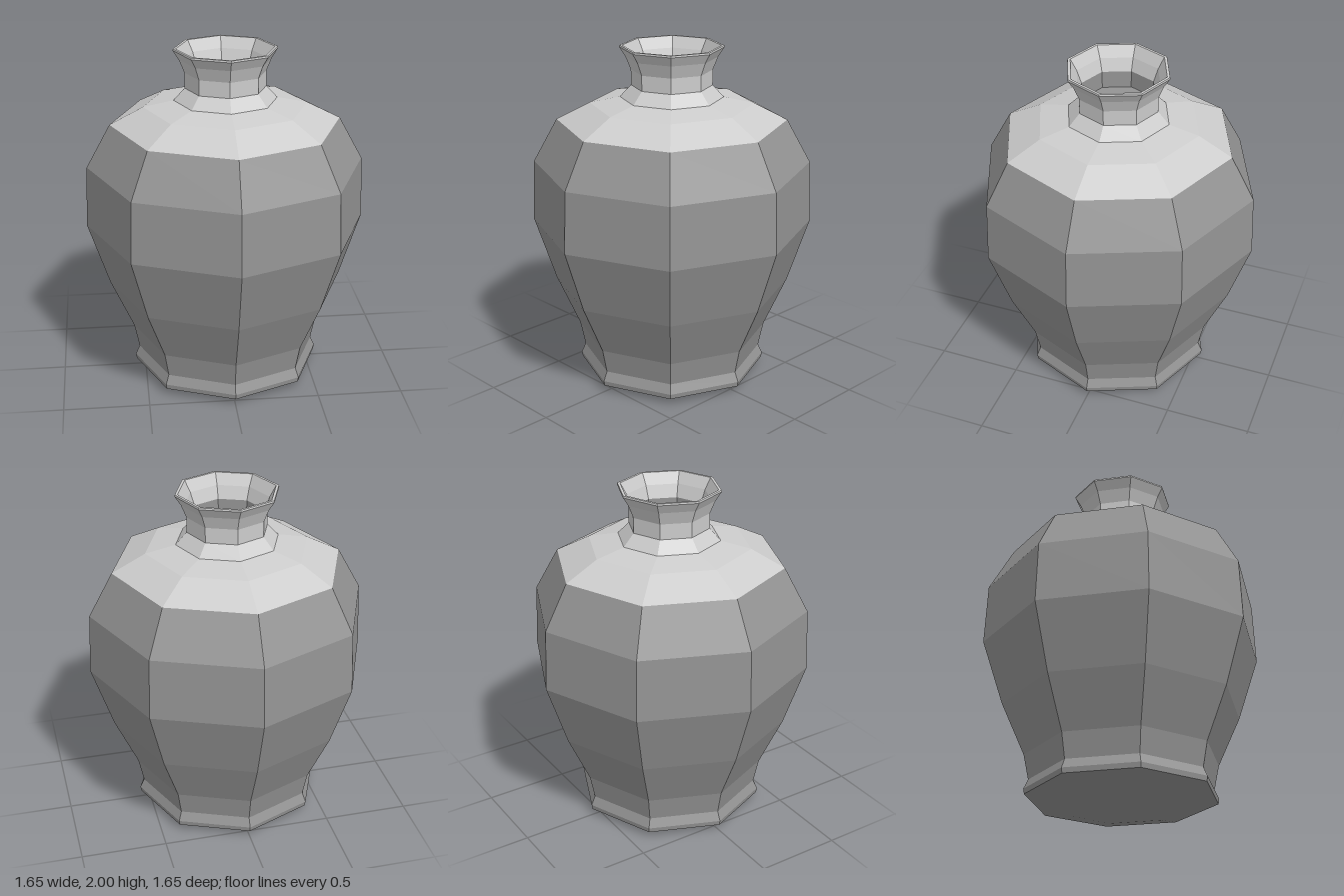
import * as THREE from 'three';

const SIDES = 8;

// Faceted eight-sided ring of surface from a [radius, height] profile
function facetedLathe(name, profile, material) {
  const points = profile.map(([r, y]) => new THREE.Vector2(r, y));
  const geometry = new THREE.LatheGeometry(points, SIDES).toNonIndexed();
  geometry.computeVertexNormals();
  const mesh = new THREE.Mesh(geometry, material);
  mesh.name = name;
  return mesh;
}

export function createModel() {
  const darkClay = new THREE.MeshStandardMaterial({ color: 0x949494 });
  darkClay.name = 'dark clay';
  const paleClay = new THREE.MeshStandardMaterial({ color: 0xcccccc });
  paleClay.name = 'pale clay';

  const vase = new THREE.Group();
  vase.name = 'vase';

  // Slightly domed underside and foot ring
  vase.add(facetedLathe('foot', [
    [0, 0], [0.4, 0.015], [0.555, 0.04], [0.56, 0.07], [0.535, 0.125],
  ], darkClay));

  // Swelling body
  vase.add(facetedLathe('body', [
    [0.535, 0.125], [0.565, 0.27], [0.7, 0.57], [0.825, 0.95], [0.81, 1.31], [0.67, 1.565],
  ], darkClay));

  // Shoulder
  vase.add(facetedLathe('shoulder', [
    [0.67, 1.565], [0.475, 1.665], [0.3, 1.7], [0.235, 1.77],
  ], paleClay));

  // Neck, flared rim and the upper inside of the mouth
  vase.add(facetedLathe('neckAndRim', [
    [0.235, 1.77], [0.235, 1.86], [0.265, 1.935], [0.3, 1.99], [0.298, 2],
    [0.282, 2], [0.245, 1.935], [0.218, 1.86],
  ], paleClay));

  // Darker throat closing off the mouth
  vase.add(facetedLathe('throat', [
    [0.218, 1.86], [0.215, 1.76], [0, 1.76],
  ], darkClay));

  return vase;
}
